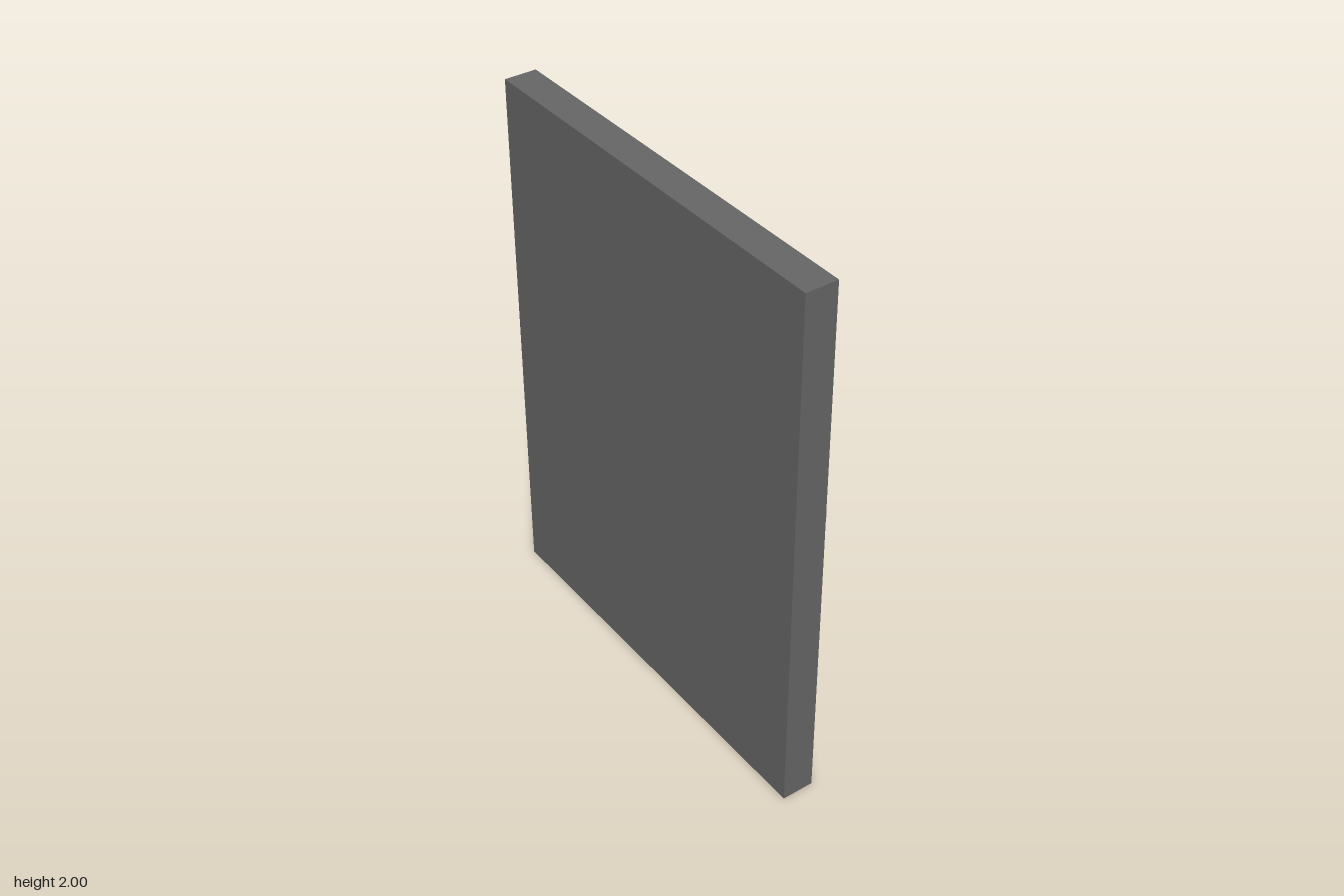
import * as THREE from 'three';

export function createModel() {
  const model = new THREE.Group();
  const steel = new THREE.MeshStandardMaterial({ color: 0x666666 });
  const dark = new THREE.MeshStandardMaterial({ color: 0x333333 });
  const metal = new THREE.MeshStandardMaterial({ color: 0xcccccc });
  const metalFlat = new THREE.MeshStandardMaterial({ color: 0xcccccc, flatShading: true });
  const back = 0.055; // z of the slab's fitted face

  function add(parent, name, geometry, material, x = 0, y = 0, z = 0) {
    const mesh = new THREE.Mesh(geometry, material);
    mesh.name = name;
    mesh.position.set(x, y, z);
    parent.add(mesh);
    return mesh;
  }
  // Group whose local +y points out of the fitted face (-z)
  function fitting(name, x, y) {
    const group = new THREE.Group();
    group.name = name;
    group.position.set(x, y, back);
    group.rotation.x = -Math.PI / 2;
    model.add(group);
    return group;
  }

  // Thick door slab
  add(model, 'doorSlab', new THREE.BoxGeometry(1.55, 2, 0.117), steel, 0.005, 1, 0.1135);

  // Hinges: bevelled profile extruded upward
  const profile = new THREE.Shape([
    [-0.0825, 0], [0.0825, 0], [0.0825, 0.02], [0.055, 0.04], [-0.055, 0.04], [-0.0825, 0.02],
  ].map(([x, y]) => new THREE.Vector2(x, y)));
  const hingeGeometry = new THREE.ExtrudeGeometry(profile, { depth: 0.18, bevelEnabled: false });
  hingeGeometry.rotateX(Math.PI / 2).translate(0, 0.18, 0).scale(1, 1, 1);
  // Turn the bevelled side to face -z
  hingeGeometry.rotateY(Math.PI);
  for (const [name, y] of [['lowerHinge', 0.23], ['upperHinge', 1.615]]) {
    add(model, name, hingeGeometry, dark, -0.7025, y, back);
  }

  // Two dials: octagonal plate with a tapered round knob
  for (const [name, y] of [['lowerDial', 0.9], ['upperDial', 1.275]]) {
    const dial = fitting(name, -0.015, y);
    const plate = add(dial, 'dialPlate', new THREE.CylinderGeometry(0.126, 0.126, 0.028, 8), metalFlat, 0, 0.014, 0);
    plate.rotation.y = 0.15;
    add(dial, 'dialKnob', new THREE.CylinderGeometry(0.061, 0.074, 0.028, 24), metal, 0, 0.042, 0);
  }

  // Handle: waisted shaft with a crossbar through the neck
  const handle = fitting('handle', 0.467, 1.077);
  const shaft = [
    [0.058, 0], [0.058, 0.02], [0.052, 0.035], [0.041, 0.06], [0.037, 0.075],
    [0.037, 0.17], [0.051, 0.178], [0.051, 0.226],
  ].map(([r, y]) => new THREE.Vector2(r, y));
  add(handle, 'handleShaft', new THREE.LatheGeometry(shaft, 24), metal);
  const cap = add(handle, 'handleCap', new THREE.CircleGeometry(0.051, 24), metal, 0, 0.226, 0);
  cap.rotation.x = -Math.PI / 2;

  const bar = new THREE.Group();
  bar.name = 'handleCrossbar';
  bar.position.set(0.467, 1.077, -0.105);
  bar.rotation.z = Math.atan2(0.114, 0.124);
  model.add(bar);
  add(bar, 'crossbarRod', new THREE.CylinderGeometry(0.0115, 0.0115, 0.335, 12), metal);
  for (const side of [-1, 1]) {
    add(bar, 'crossbarTip', new THREE.SphereGeometry(0.014, 12, 8), metal, 0, side * 0.167, 0);
  }

  return model;
}
